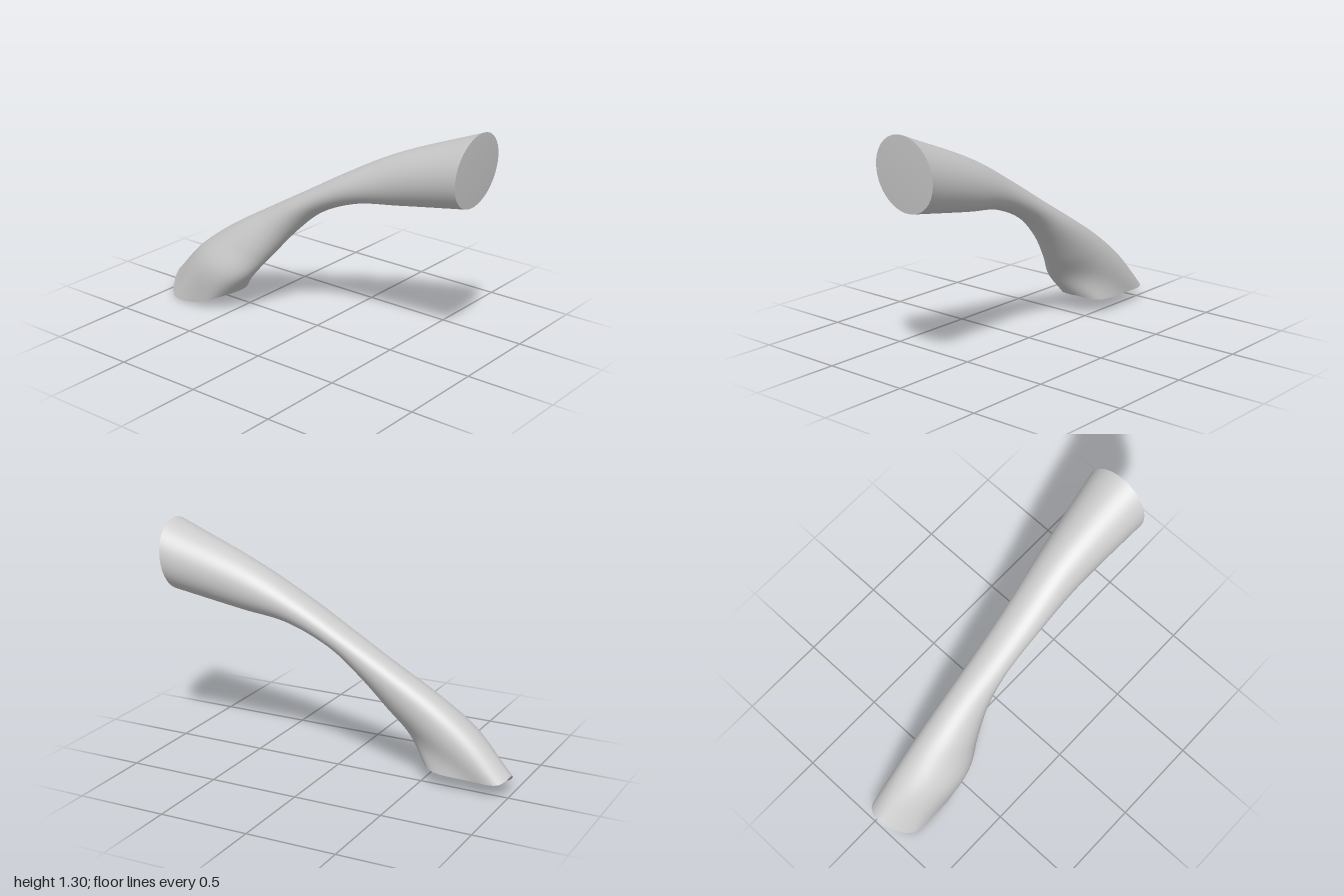
import * as THREE from 'three';

const SIDES = 48, STEPS = 56;

// Cross-sections from front to foot: top z, top y, bottom z, bottom y, min x, max x, sideways shift of the top
const SECTIONS = [
  [1.0, 1.3, 0.955, 0.9, -0.15, 0.23, 0],
  [0.5, 1.1, 0.55, 0.83, -0.112, 0.165, 0],
  [0.2, 0.94, 0.28, 0.785, -0.11, 0.12, 0],
  [-0.08, 0.775, 0.03, 0.675, -0.11, 0.095, 0],
  [-0.32, 0.635, -0.13, 0.535, -0.13, 0.088, 0.01],
  [-0.6, 0.465, -0.27, 0.37, -0.185, 0.08, 0.025],
  [-0.82, 0.295, -0.38, 0.23, -0.235, 0.07, 0.045],
];

// Rim of the slanted foot, starting at +x and passing over the back
const FOOT = [
  [0.06, 0.08, -0.8], [0.055, 0.085, -0.96], [-0.04, 0.11, -1.0], [-0.2, 0.005, -0.91],
  [-0.225, 0.015, -0.74], [-0.215, 0.08, -0.57], [-0.1, 0.12, -0.475], [0.04, 0.09, -0.56],
].map((p) => new THREE.Vector3(...p));

function sectionPoint([tz, ty, bz, by, x0, x1, shift], angle) {
  const s = Math.sin(angle), k = (1 + s) / 2;
  return new THREE.Vector3(
    (x0 + x1) / 2 + ((x1 - x0) / 2) * Math.cos(angle) + shift * s,
    by + (ty - by) * k,
    bz + (tz - bz) * k);
}

function makeGeometry(points, index) {
  const g = new THREE.BufferGeometry().setFromPoints(points);
  g.setIndex(index);
  g.computeVertexNormals();
  return g;
}

// Closed fan between a rim and its middle point
function makeCap(rim, middle, flip) {
  const index = [];
  for (let i = 0; i < SIDES; i++) {
    const a = i + 1, b = ((i + 1) % SIDES) + 1;
    index.push(0, ...(flip ? [b, a] : [a, b]));
  }
  return makeGeometry([middle, ...rim], index);
}

export function createModel() {
  const group = new THREE.Group();
  const material = new THREE.MeshStandardMaterial({ color: 0xcccccc });
  const add = (name, geometry) => {
    const mesh = new THREE.Mesh(geometry, material);
    mesh.name = name;
    group.add(mesh);
  };

  // One lengthwise curve per side
  const footCurve = new THREE.CatmullRomCurve3(FOOT, true);
  const columns = [];
  for (let i = 0; i < SIDES; i++) {
    const angle = (i / SIDES) * Math.PI * 2;
    const pts = SECTIONS.map((s) => sectionPoint(s, angle));
    const end = footCurve.getPoint(i / SIDES);
    end.y = Math.max(0, end.y);
    pts.push(end);
    columns.push(new THREE.CatmullRomCurve3(pts).getPoints(STEPS));
  }

  // Curved shaft
  const points = [], index = [];
  for (let j = 0; j <= STEPS; j++) {
    for (let i = 0; i < SIDES; i++) {
      points.push(columns[i][j]);
      if (j === STEPS) continue;
      const a = j * SIDES + i, b = j * SIDES + ((i + 1) % SIDES);
      const c = a + SIDES, d = b + SIDES;
      index.push(a, c, b, b, c, d);
    }
  }
  add('shaft', makeGeometry(points, index));

  // Round front end and slanted foot
  add('frontEnd', makeCap(columns.map((c) => c[0]), new THREE.Vector3(0.04, 1.1, 0.985), false));
  add('foot', makeCap(columns.map((c) => c[STEPS]), new THREE.Vector3(-0.08, 0.05, -0.77), true));

  return group;
}
